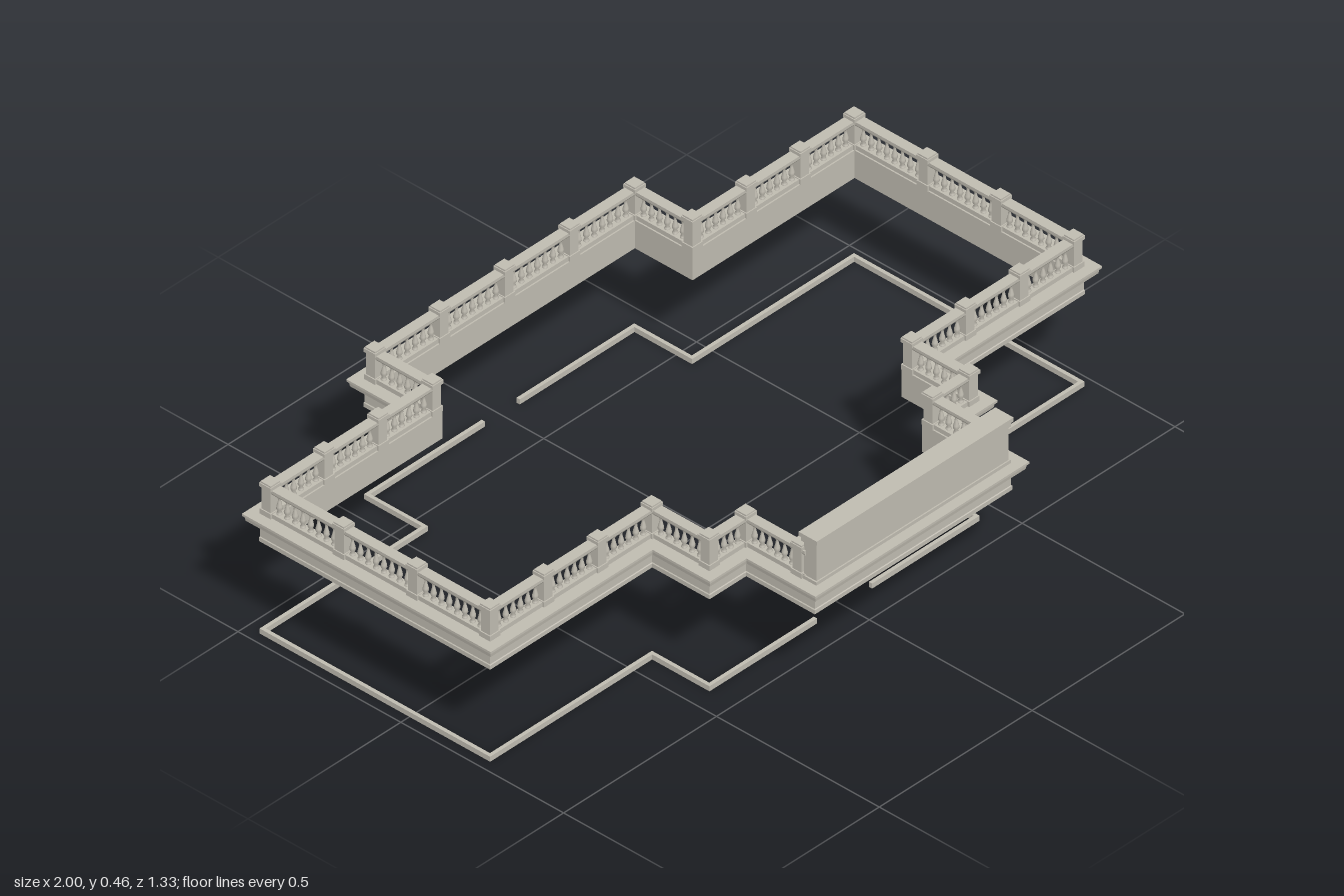
import * as THREE from 'three';
import { mergeGeometries } from 'three/addons/utils/BufferGeometryUtils.js';

// Plan corners [x, z] on the post centre line, right half from front bay to back
const half = [[0.305, 0.618], [0.305, 0.407], [0.425, 0.407], [0.425, 0.231],
  [0.955, 0.231], [0.955, -0.443], [0.425, -0.443], [0.425, -0.62]];
const mirror = pts => pts.map(([x, z]) => [-x, z]).reverse();
const sub = (a, b) => [a[0] - b[0], a[1] - b[1]];
const lerp = (a, b, t) => [a[0] + (b[0] - a[0]) * t, a[1] + (b[1] - a[1]) * t];
const unit = v => { const l = Math.hypot(v[0], v[1]); return [v[0] / l, v[1] / l]; };

// Sweep a counterclockwise [outward offset, y] profile along a mitred plan path
function sweep(path, profile, closed) {
  const n = path.length, m = profile.length, pos = [];
  const normal = i => {
    const d = unit(sub(path[(i + 1) % n], path[i]));
    return [-d[1], d[0]];
  };
  const rings = path.map((p, i) => {
    const a = normal(!closed && i === 0 ? 0 : (i + n - 1) % n);
    const b = normal(!closed && i === n - 1 ? n - 2 : i);
    const k = 1 + a[0] * b[0] + a[1] * b[1];
    return profile.map(([o, y]) => [p[0] + (a[0] + b[0]) / k * o, y, p[1] + (a[1] + b[1]) / k * o]);
  });
  const tri = (...v) => v.forEach(c => pos.push(...c));
  for (let i = 0; i < (closed ? n : n - 1); i++) {
    const r = rings[i], s = rings[(i + 1) % n];
    for (let j = 0; j < m; j++) {
      const k = (j + 1) % m;
      tri(r[j], s[j], s[k]);
      tri(r[j], s[k], r[k]);
    }
  }
  if (!closed) {
    const e = rings[n - 1];
    for (let j = 1; j < m - 1; j++) {
      tri(rings[0][0], rings[0][j], rings[0][j + 1]);
      tri(e[0], e[j + 1], e[j]);
    }
  }
  const g = new THREE.BufferGeometry();
  g.setAttribute('position', new THREE.Float32BufferAttribute(pos, 3));
  g.computeVertexNormals();
  return g;
}

const rect = (o0, o1, y0, y1) => [[o0, y0], [o1, y0], [o1, y1], [o0, y1]];
const box = (w, d, y0, y1, x, z) =>
  new THREE.BoxGeometry(w, y1 - y0, d).translate(x, (y0 + y1) / 2, z);

export function createModel() {
  const group = new THREE.Group();
  const stone = new THREE.MeshStandardMaterial({ color: 0xbfbbb0 });
  stone.name = 'stone';
  const add = (name, geometry) => {
    const mesh = new THREE.Mesh(geometry, stone);
    mesh.name = name;
    group.add(mesh);
  };

  // Frieze and projecting cornice around the whole plan
  const outline = [...half, ...mirror(half)];
  add('cornice', sweep(outline, [[-0.016, 0.257], [0.018, 0.257], [0.018, 0.268], [0.016, 0.27],
    [0.016, 0.298], [0.019, 0.302], [0.021, 0.311], [0.039, 0.314], [0.041, 0.325],
    [0.045, 0.328], [0.045, 0.334], [-0.016, 0.334]], true));

  // Small dentils under the cornice
  const dentils = [];
  outline.forEach((a, i) => {
    const b = outline[(i + 1) % outline.length], d = unit(sub(b, a));
    const length = Math.hypot(...sub(b, a)), count = Math.round((length - 0.04) / 0.022);
    for (let k = 0; k <= count; k++) {
      const p = lerp(a, b, (0.02 + (length - 0.04) * k / count) / length);
      dentils.push(box(0.01, 0.01, 0.304, 0.3135, p[0] - d[1] * 0.023, p[1] + d[0] * 0.023));
    }
  });
  add('dentils', mergeGeometries(dentils));

  // Balustrade rails, open behind the front parapet
  const railHalf = [[0.305, 0.6], ...half.slice(1)];
  const railPath = [...railHalf, ...mirror(railHalf)];
  add('bottomRail', sweep(railPath, rect(-0.012, 0.012, 0.333, 0.346), false));
  add('topRail', sweep(railPath, [[-0.010, 0.398], [0.010, 0.398], [0.014, 0.404],
    [0.014, 0.412], [-0.014, 0.412], [-0.014, 0.404]], false));

  // Posts at corners and along the long runs, balusters between them
  const postHalf = [[0.305, 0.577], ...half.slice(1)];
  const corners = [...postHalf, ...mirror(postHalf)];
  const bays = [1, 1, 1, 3, 3, 3, 1, 4, 1, 3, 3, 3, 1, 1, 1];
  const posts = [], balusters = [];
  const addPost = ([x, z]) => posts.push(
    box(0.034, 0.034, 0.333, 0.348, x, z), box(0.028, 0.028, 0.348, 0.41, x, z),
    box(0.036, 0.036, 0.41, 0.42, x, z), box(0.031, 0.031, 0.42, 0.424, x, z));
  const baluster = new THREE.LatheGeometry([[0.007, 0.345], [0.007, 0.35], [0.0035, 0.353],
    [0.0075, 0.361], [0.007, 0.368], [0.0035, 0.382], [0.003, 0.389], [0.006, 0.393],
    [0.006, 0.4]].map(p => new THREE.Vector2(...p)), 8);
  bays.forEach((count, i) => {
    for (let k = 0; k < count; k++) {
      const a = lerp(corners[i], corners[i + 1], k / count);
      const b = lerp(corners[i], corners[i + 1], (k + 1) / count);
      addPost(a);
      const clear = Math.hypot(...sub(b, a)) - 0.032;
      const number = Math.round(clear / 0.0245);
      for (let j = 0; j < number; j++) {
        const t = (0.016 + clear * (j + 0.5) / number) / (clear + 0.032);
        const [x, z] = lerp(a, b, t);
        balusters.push(baluster.clone().translate(x, 0, z));
      }
    }
  });
  addPost(corners[corners.length - 1]);
  add('posts', mergeGeometries(posts));
  add('balusters', mergeGeometries(balusters));

  // Solid front parapet with a moulded coping
  add('parapet', mergeGeometries([
    box(0.636, 0.046, 0.333, 0.343, 0, 0.613),
    box(0.628, 0.039, 0.343, 0.436, 0, 0.613),
    box(0.636, 0.047, 0.436, 0.446, 0, 0.613),
    box(0.632, 0.043, 0.446, 0.45, 0, 0.613),
    box(0.644, 0.056, 0.45, 0.461, 0, 0.613)]));

  // Thin ground kerb, broken at the front and back entrances
  const kerb = [[0.09, 0.407], ...half.slice(2), [0.057, -0.62]];
  const kerbProfile = rect(0.007, 0.017, 0, 0.014);
  add('leftKerb', sweep(kerb, kerbProfile, false));
  add('rightKerb', sweep(mirror(kerb), kerbProfile, false));
  return group;
}
